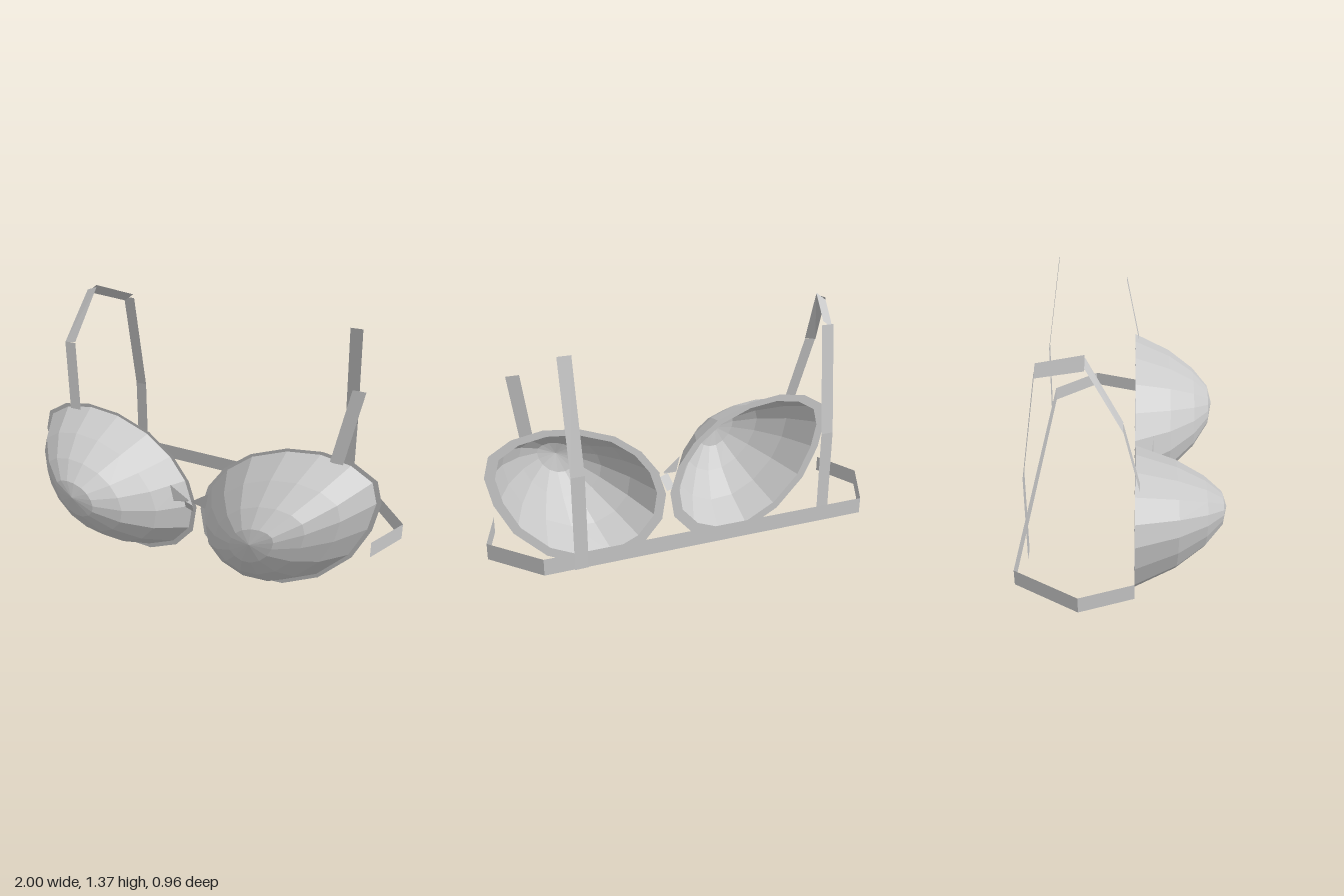
import * as THREE from 'three';

const grey = new THREE.MeshStandardMaterial({ color: 0xc8c8c8, flatShading: true, side: THREE.DoubleSide });

// Skin a row of cross-sections (each a list of [x, y, z]) with quads.
function loft(name, sections) {
  const pos = [];
  for (let i = 0; i < sections.length - 1; i++) {
    const a = sections[i], b = sections[i + 1];
    for (let j = 0; j < a.length - 1; j++) {
      pos.push(...a[j], ...a[j + 1], ...b[j + 1], ...a[j], ...b[j + 1], ...b[j]);
    }
  }
  const geo = new THREE.BufferGeometry();
  geo.setAttribute('position', new THREE.Float32BufferAttribute(pos, 3));
  geo.computeVertexNormals();
  const mesh = new THREE.Mesh(geo, grey);
  mesh.name = name;
  return mesh;
}

// Outer edge of the cup on the +x side, sixteen corners
const edge = [
  [0.945, 0.594], [0.917, 0.70], [0.805, 0.765], [0.65, 0.79],
  [0.473, 0.77], [0.286, 0.70], [0.147, 0.594], [0.056, 0.47],
  [0.012, 0.33], [0.035, 0.187], [0.136, 0.075], [0.297, 0.01],
  [0.479, 0.02], [0.666, 0.112], [0.826, 0.273], [0.912, 0.444],
];
const apex = [0.48, 0.475];
const RIM_Z = 0.05;

// Edge loop scaled about the apex, at depth z
function ring(scale, z, side) {
  const loop = edge.map(([x, y]) => [
    side * (apex[0] + (x - apex[0]) * scale),
    apex[1] + (y - apex[1]) * scale,
    z,
  ]);
  return [...loop, loop[0]];
}

function cup(side) {
  const g = new THREE.Group();
  g.name = side > 0 ? 'leftCup' : 'rightCup';
  const profile = [[0.95, RIM_Z], [0.725, 0.24], [0.475, 0.373], [0.23, 0.455], [0, 0.477]];
  g.add(loft('cupShell', profile.map(([s, z]) => ring(s, z, side))));
  g.add(loft('cupTrim', [ring(1, RIM_Z - 0.002, side), ring(0.89, RIM_Z - 0.002, side)]));
  return g;
}

// Ribbon of level cross-sections: [x, y, z] centres, half width w along x
const level = (pts, side, w = 0.032) =>
  pts.map(([x, y, z]) => [[side * (x - w), y, z], [side * (x + w), y, z]]);

export function createModel() {
  const model = new THREE.Group();
  model.name = 'brassiere';

  for (const side of [1, -1]) {
    const label = side > 0 ? 'left' : 'right';
    model.add(cup(side));
    // Straps rising from the cup and from the back band
    model.add(loft(label + 'FrontStrap', level([[0.725, 0.755, 0.07], [0.785, 1.095, 0]], side)));
    model.add(loft(label + 'BackStrap',
      level([[0.642, 1.27, -0.36], [0.63, 0.75, -0.437], [0.63, 0.30, -0.44]], side)));
  }

  // The shoulder part exists on the right strap only
  model.add(loft('rightUpperStrap', [
    [[-0.818, 1.09, 0], [-0.753, 1.10, 0]],
    [[-0.762, 1.345, -0.15], [-0.705, 1.365, -0.15]],
  ]));
  model.add(loft('rightShoulderStrap', [
    [[-0.762, 1.333, -0.15], [-0.705, 1.375, -0.15]],
    [[-0.67, 1.25, -0.36], [-0.615, 1.29, -0.36]],
  ]));

  // Band running round the back
  const bandPath = [[0.915, 0.05], [1, -0.19], [0.8, -0.43], [-0.83, -0.48], [-1, -0.19], [-0.915, 0.05]];
  model.add(loft('backBand', bandPath.map(([x, z]) => [[x, 0.30, z], [x, 0.38, z]])));

  // Small bow between the cups
  const bow = new THREE.Group();
  bow.name = 'bow';
  for (const side of [1, -1]) {
    bow.add(loft('bowLoop', [
      [[side * 0.01, 0.415, 0.135], [side * 0.015, 0.405, 0.135]],
      [[side * 0.11, 0.485, 0.148], [side * 0.09, 0.398, 0.148]],
    ]));
  }
  bow.add(loft('bowTail', [
    [[-0.035, 0.405, 0.135], [0.01, 0.39, 0.135]],
    [[-0.055, 0.34, 0.085], [-0.01, 0.325, 0.085]],
  ]));
  model.add(bow);
  return model;
}
